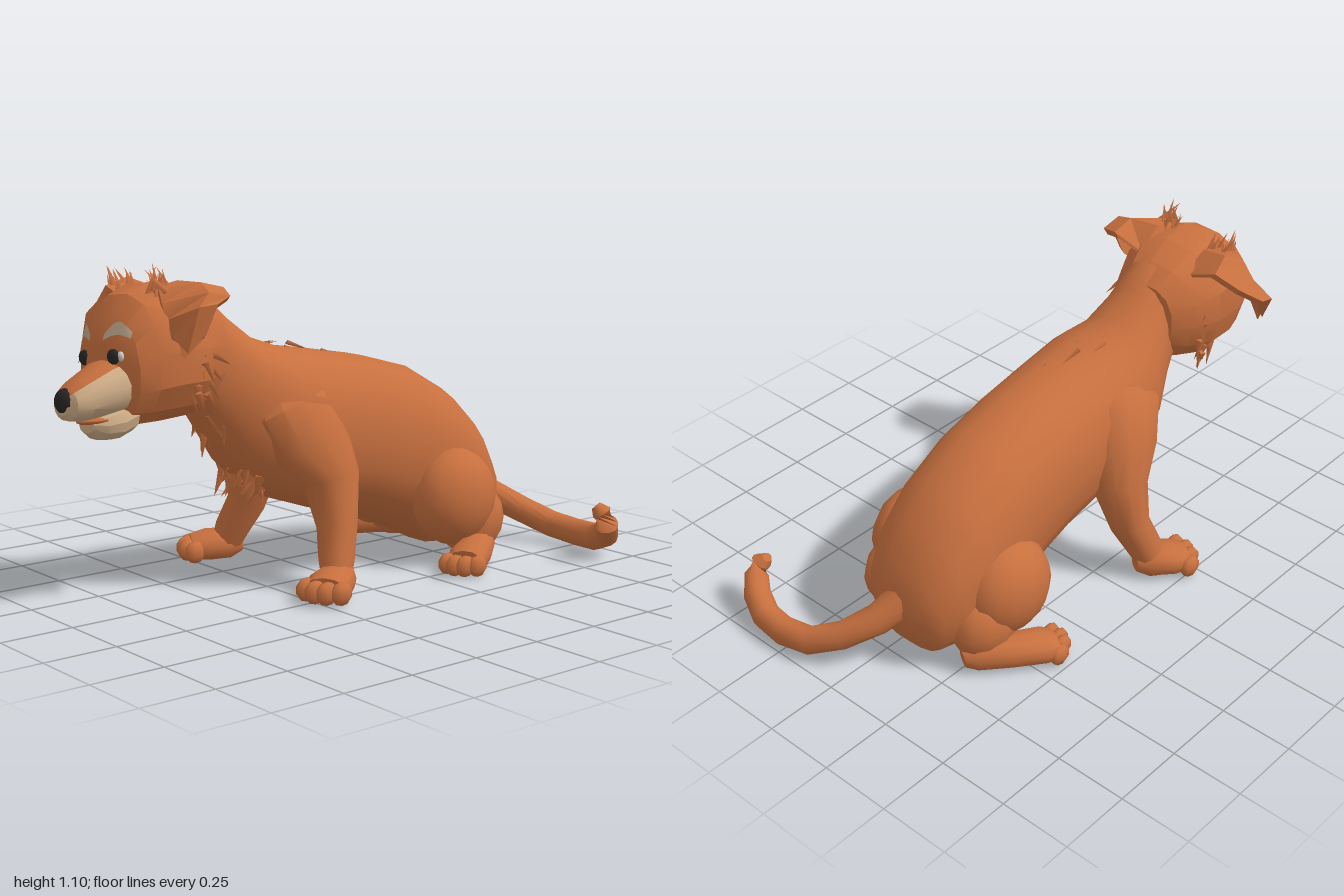
import * as THREE from 'three';
import { mergeGeometries, toCreasedNormals } from 'three/addons/utils/BufferGeometryUtils.js';

const V = (x, y, z) => new THREE.Vector3(x, y, z);
const paint = (name, color, side = THREE.FrontSide) => {
  const m = new THREE.MeshStandardMaterial({ color, side });
  m.name = name;
  return m;
};

// Elliptical ring around c spanned by half axes u and v; power < 1 squares it off
function ring(c, u, v, n = 14, power = 0.9) {
  const soft = (t) => Math.sign(t) * Math.abs(t) ** power;
  return Array.from({ length: n }, (_, i) => {
    const a = (i / n) * Math.PI * 2;
    return c.clone().addScaledVector(u, soft(Math.cos(a))).addScaledVector(v, soft(Math.sin(a)));
  });
}

// Closed skin over rings; slot(j) picks the material of each lengthwise strip
function loft(rings, crease = 0.6, slot = () => 0) {
  const n = rings[0].length, pts = rings.flat(), faces = [[], []];
  for (let i = 0; i < rings.length - 1; i++) for (let j = 0; j < n; j++) {
    const a = i * n + j, b = i * n + (j + 1) % n;
    faces[slot(j)].push(a, b, b + n, a, b + n, a + n);
  }
  [0, rings.length - 1].forEach((r, end) => {
    const mid = rings[r].reduce((s, p) => s.add(p), V(0, 0, 0)).divideScalar(n);
    const k = pts.push(mid) - 1;
    for (let j = 0; j < n; j++) {
      const a = r * n + j, b = r * n + (j + 1) % n;
      faces[0].push(...(end ? [a, b, k] : [b, a, k]));
    }
  });
  const index = faces.flat();
  let volume = 0;
  for (let i = 0; i < index.length; i += 3) {
    volume += pts[index[i]].dot(pts[index[i + 1]].clone().cross(pts[index[i + 2]]));
  }
  if (volume < 0) index.reverse();
  const g = new THREE.BufferGeometry().setFromPoints(pts);
  g.setIndex(index);
  if (faces[1].length) {
    const [first, second] = volume < 0 ? [1, 0] : [0, 1];
    g.addGroup(0, faces[first].length, first);
    g.addGroup(faces[first].length, faces[second].length, second);
  }
  return toCreasedNormals(g, crease);
}

// Limb through [x, y, z, half width, half depth] points
function limb(points, ref = V(1, 0, 0), n = 12) {
  const c = points.map((p) => V(p[0], p[1], p[2]));
  return loft(points.map((p, i) => {
    const t = c[Math.min(i + 1, c.length - 1)].clone().sub(c[Math.max(i - 1, 0)]).normalize();
    const u = ref.clone().addScaledVector(t, -ref.dot(t)).normalize();
    return ring(c[i], u.clone().multiplyScalar(p[3]), t.clone().cross(u).multiplyScalar(p[4]), n);
  }), 0.8);
}

// Sections in z: [z, top, bottom, half width]
const sections = (rows, n) => rows.map(([z, t, b, w]) =>
  ring(V(0, (t + b) / 2, z), V(w, 0, 0), V(0, (t - b) / 2, 0), n));

function blob(x, y, z, rx, ry, rz, w = 10, h = 7) {
  return new THREE.SphereGeometry(1, w, h).scale(rx, ry, rz).translate(x, y, z);
}

let seed = 7;
const rand = () => ((seed = (seed * 16807) % 2147483647) / 2147483647) * 2 - 1;

// Bunch of thin fur spikes scattered round a centre
function tuft(center, spread, dir, count, length, radius = 0.012) {
  const cones = [];
  for (let i = 0; i < count; i++) {
    const d = dir.clone().add(V(rand(), rand(), rand()).multiplyScalar(0.4)).normalize();
    const g = new THREE.ConeGeometry(radius, length * (1 + 0.3 * rand()), 3);
    g.applyQuaternion(new THREE.Quaternion().setFromUnitVectors(V(0, 1, 0), d));
    cones.push(g.translate(center.x + spread.x * rand(), center.y + spread.y * rand(), center.z + spread.z * rand()));
  }
  return mergeGeometries(cones);
}

export function createModel() {
  seed = 7;
  const fur = paint('russet fur', 0xc8703f);
  const tan = paint('tan muzzle', 0xd0ae88);
  const browTan = paint('brow beige', 0xbda68a, THREE.DoubleSide);
  const black = paint('black', 0x2a2526);
  const white = paint('eye white', 0xd8d0c8);
  const model = new THREE.Group();
  model.name = 'sittingPuppy';
  const add = (name, geo, mat = fur, parent = model) => {
    const m = new THREE.Mesh(geo, mat);
    m.name = name;
    parent.add(m);
    return m;
  };

  // Body and neck: [top z, top y, bottom z, bottom y, half width]
  const spine = [
    [-0.768, 0.22, -0.76, 0.15, 0.05], [-0.755, 0.29, -0.74, 0.08, 0.12], [-0.73, 0.36, -0.70, 0.03, 0.17],
    [-0.66, 0.48, -0.62, 0.015, 0.205], [-0.55, 0.59, -0.48, 0.03, 0.22], [-0.38, 0.685, -0.30, 0.12, 0.22],
    [-0.18, 0.74, -0.12, 0.19, 0.22], [0.02, 0.775, 0.06, 0.235, 0.222], [0.18, 0.80, 0.22, 0.29, 0.22],
    [0.27, 0.835, 0.34, 0.39, 0.18], [0.36, 0.905, 0.42, 0.50, 0.14], [0.44, 0.98, 0.49, 0.60, 0.118],
    [0.53, 1.01, 0.59, 0.62, 0.13]];
  add('body', loft(spine.map(([zt, yt, zb, yb, w], i) => ring(
    V(i > 8 ? -0.095 : -0.07, (yt + yb) / 2, (zt + zb) / 2), V(w, 0, 0),
    V(0, (yt - yb) / 2, (zt - zb) / 2), 18)), 0.7));

  // Legs: written for the right side, mirrored for the left
  for (const side of [-1, 1]) {
    const label = side < 0 ? 'right' : 'left';
    const front = (x) => (side < 0 ? x : -0.17 - x);
    const hind = (x) => (side < 0 ? x : -0.115 - x);
    const map = (rows, mx, dz = 0) => rows.map(([x, y, z, a, b]) => [mx(x), y, z + dz, a, b]);
    const hz = side < 0 ? 0 : 0.05;
    add(label + 'FrontLeg', limb(map([
      [-0.15, 0.70, 0.2, 0.06, 0.09], [-0.20, 0.60, 0.18, 0.115, 0.16], [-0.24, 0.48, 0.13, 0.115, 0.15],
      [-0.295, 0.36, 0.075, 0.092, 0.094], [-0.335, 0.21, 0.085, 0.072, 0.064],
      [-0.375, 0.11, 0.12, 0.06, 0.058], [-0.40, 0.03, 0.14, 0.045, 0.045]], front)));
    add(label + 'FrontPaw', limb(map([
      [-0.37, 0.055, 0.08, 0.03, 0.03], [-0.39, 0.056, 0.12, 0.06, 0.054],
      [-0.43, 0.052, 0.19, 0.078, 0.052], [-0.455, 0.045, 0.235, 0.07, 0.042]], front)));
    add(label + 'Haunch', blob(hind(-0.265), 0.235, -0.455, 0.125, 0.17, 0.165, 14, 10));
    add(label + 'Hock', blob(hind(-0.255), 0.14, -0.55, 0.1, 0.13, 0.13, 12, 8));
    add(label + 'HindFoot', limb(map([
      [-0.26, 0.05, -0.66, 0.03, 0.03], [-0.28, 0.055, -0.62, 0.055, 0.052], [-0.35, 0.055, -0.53, 0.062, 0.054],
      [-0.41, 0.052, -0.44, 0.07, 0.052], [-0.425, 0.045, -0.41, 0.062, 0.042]], hind, hz)));
    // Four toes fanned across each paw
    for (let i = 0; i < 4; i++) {
      const s = i - 1.5, reach = Math.abs(s) < 1 ? 0.018 : 0;
      add(label + 'FrontToe', blob(front(-0.452 + s * 0.037 - reach * 0.4), 0.04, 0.235 + s * 0.018 + reach, 0.027, 0.04, 0.042, 7, 5));
      add(label + 'HindToe', blob(hind(-0.425 + s * 0.03 - reach * 0.4), 0.038, -0.4 + hz + s * 0.018 + reach, 0.024, 0.038, 0.04, 7, 5));
    }
  }

  // Tail curling along the ground to its left
  add('tail', limb([
    [-0.06, 0.23, -0.72, 0.06, 0.06], [-0.02, 0.17, -0.80, 0.05, 0.052], [0.06, 0.11, -0.885, 0.046, 0.046],
    [0.16, 0.065, -0.94, 0.047, 0.044], [0.27, 0.052, -0.955, 0.048, 0.043], [0.37, 0.055, -0.945, 0.048, 0.045],
    [0.445, 0.085, -0.915, 0.047, 0.044], [0.482, 0.13, -0.88, 0.042, 0.04], [0.475, 0.175, -0.86, 0.034, 0.035],
    [0.455, 0.197, -0.85, 0.015, 0.02]], V(0, 1, 0.3)));

  // Head, tilted and turned a little
  const head = new THREE.Group();
  head.name = 'head';
  const skull = add('skull', loft(sections([
    [-0.21, 0.13, -0.13, 0.11], [-0.15, 0.185, -0.17, 0.165], [-0.05, 0.225, -0.205, 0.205], [0.06, 0.235, -0.21, 0.212],
    [0.14, 0.205, -0.21, 0.19], [0.195, 0.14, -0.2, 0.15], [0.225, 0.06, -0.16, 0.08]], 14), 0.45), fur, head);
  add('muzzle', loft(sections([
    [0.12, 0.03, -0.165, 0.128], [0.24, 0.0, -0.17, 0.11], [0.33, -0.042, -0.175, 0.09],
    [0.375, -0.07, -0.168, 0.062], [0.39, -0.09, -0.15, 0.025]], 16), 0.5,
  (j) => (j > 1 && j < 6 ? 1 : 0)), [tan, fur], head);
  add('lowerJaw', loft(sections([
    [0.17, -0.12, -0.228, 0.095], [0.22, -0.135, -0.245, 0.092], [0.27, -0.15, -0.24, 0.07], [0.305, -0.165, -0.215, 0.038]], 12), 0.5), tan, head);
  add('mouth', blob(0, -0.178, 0.27, 0.066, 0.014, 0.062), fur, head);
  add('nose', blob(-0.004, -0.11, 0.366, 0.05, 0.044, 0.036, 10, 7), black, head);

  // Face details laid on the skull surface
  const ray = new THREE.Raycaster();
  const onSkull = (x, y, lift) => {
    ray.set(V(x, y, 1), V(0, 0, -1));
    const hit = ray.intersectObject(skull)[0];
    return V(x, y, (hit ? hit.point.z : 0.17) + lift);
  };
  const shift = -0.018;
  for (const s of [-1, 1]) {
    const e = onSkull(s * 0.079 + shift, 0.012, 0);
    add('eye', blob(e.x, e.y, e.z, 0.027, 0.025, 0.014), black, head);
    const w = onSkull(s * 0.106 + shift, 0.012, 0);
    add('eyeWhite', blob(w.x, w.y, w.z, 0.014, 0.016, 0.009, 8, 5), white, head);
    const brow = new THREE.PlaneGeometry(1, 1, 8, 2);
    const p = brow.attributes.position;
    for (let i = 0; i < p.count; i++) {
      const t = p.getX(i) + 0.5, arch = Math.sin(Math.PI * t);
      const x = s * (0.038 + 0.105 * (s < 0 ? 1 - t : t)) + shift;
      const q = onSkull(x, 0.073 + 0.025 * arch + p.getY(i) * (0.018 + 0.022 * arch), 0.006);
      p.setXYZ(i, q.x, q.y, q.z);
    }
    brow.computeVertexNormals();
    add('eyebrow', brow, browTan, head);
  }
  head.position.set(-0.105, 0.8, 0.6);
  head.rotation.set(0, 0.1, 0.12);
  model.add(head);

  // Folded ears: rows from root to tip, each back, middle, front
  const ears = {
    rightEar: [[-0.2, 0.95, 0.5, -0.22, 1.02, 0.58, -0.22, 0.99, 0.68], [-0.33, 1.0, 0.5, -0.31, 1.03, 0.58, -0.28, 1.01, 0.68],
      [-0.42, 0.96, 0.525, -0.42, 0.965, 0.6, -0.3, 0.96, 0.7], [-0.465, 0.91, 0.59, -0.468, 0.9, 0.64, -0.31, 0.9, 0.72],
      [-0.41, 0.81, 0.68, -0.375, 0.75, 0.73, -0.325, 0.82, 0.74]],
    leftEar: [[-0.02, 0.97, 0.5, -0.02, 1.04, 0.58, -0.04, 1.02, 0.66], [0.08, 1.02, 0.475, 0.08, 1.04, 0.56, 0.01, 1.02, 0.67],
      [0.15, 1.0, 0.5, 0.15, 1.015, 0.58, 0.04, 0.98, 0.68], [0.17, 0.98, 0.56, 0.17, 0.975, 0.63, 0.065, 0.93, 0.68],
      [0.15, 0.89, 0.59, 0.135, 0.83, 0.65, 0.095, 0.88, 0.68]],
  };
  for (const [name, rows] of Object.entries(ears)) {
    const inward = V(name === 'rightEar' ? 0.018 : -0.018, -0.018, 0);
    add(name, loft(rows.map((r) => {
      const top = [0, 3, 6].map((k) => V(r[k], r[k + 1], r[k + 2]));
      return [...top, ...top.map((p) => p.clone().add(inward)).reverse()];
    }), 0.5));
  }

  // Fur tufts on chest, throat, cheeks, ear roots and along the back
  add('chestTuft', tuft(V(-0.09, 0.375, 0.275), V(0.09, 0.05, 0.05), V(0, -0.8, 0.3), 70, 0.11, 0.022));
  add('throatTuft', tuft(V(-0.09, 0.53, 0.41), V(0.08, 0.05, 0.03), V(0, -0.8, 0.1), 26, 0.08, 0.018));
  add('rightEarTuft', tuft(V(-0.25, 1.01, 0.64), V(0.04, 0.025, 0.03), V(0, 0.9, 0.2), 22, 0.07));
  add('leftEarTuft', tuft(V(-0.03, 1.03, 0.65), V(0.04, 0.025, 0.03), V(0, 0.9, 0.2), 24, 0.08));
  add('rightCheekTuft', tuft(V(-0.27, 0.72, 0.53), V(0.02, 0.08, 0.05), V(0, -0.8, -0.4), 22, 0.07, 0.015));
  add('leftCheekTuft', tuft(V(0.07, 0.74, 0.53), V(0.02, 0.08, 0.05), V(0, -0.8, -0.4), 22, 0.07, 0.015));
  for (let i = 0; i < 8; i++) {
    const y = 0.807 - 0.01 * i - 0.0028 * i * i;
    add('backFur', tuft(V(-0.08, y, 0.25 - i * 0.09), V(0.05, 0.004, 0.03), V(0, -0.2, -1.6), 2, 0.09, 0.01));
  }
  return model;
}
